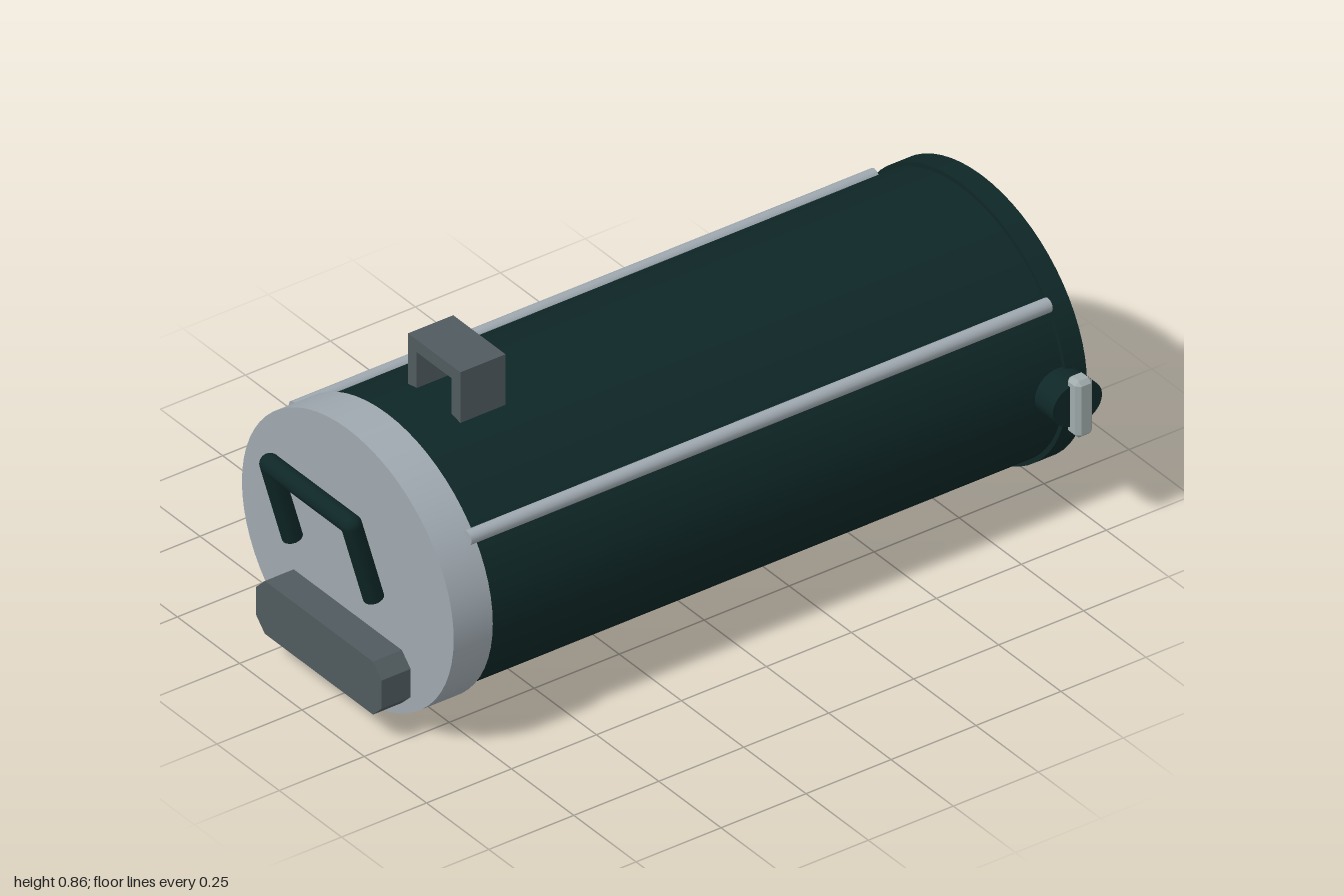
import * as THREE from 'three';
import { ConvexGeometry } from 'three/addons/geometries/ConvexGeometry.js';

const CY = 0.375; // height of the long axis

function mat(name, color) {
  const m = new THREE.MeshStandardMaterial({ color });
  m.name = name;
  return m;
}

export function createModel() {
  const root = new THREE.Group();
  const dark = mat('dark green', 0x0f2727);
  const light = mat('light steel', 0x9fa9b0);
  const pale = mat('pale grey', 0xa0abab);
  const grey = mat('slate grey', 0x505b5f);

  function add(name, geo, material, x = 0, y = 0, z = 0) {
    const mesh = new THREE.Mesh(geo, material);
    mesh.name = name;
    mesh.position.set(x, y, z);
    root.add(mesh);
    return mesh;
  }

  // Oval cylinder lying along x
  function drum(name, x0, x1, ry, rz, material) {
    const geo = new THREE.CylinderGeometry(1, 1, x1 - x0, 64);
    geo.rotateZ(Math.PI / 2);
    geo.scale(1, ry, rz);
    return add(name, geo, material, (x0 + x1) / 2, CY, 0);
  }

  // Box with every edge cut at 45 degrees
  function chamferBox(w, h, d, c) {
    const pts = [];
    for (const sx of [-1, 1]) for (const sy of [-1, 1]) for (const sz of [-1, 1]) {
      for (let k = 0; k < 3; k++) {
        const cut = [c, c, c];
        cut[k] = 0;
        pts.push(new THREE.Vector3(sx * (w / 2 - cut[0]), sy * (h / 2 - cut[1]), sz * (d / 2 - cut[2])));
      }
    }
    return new ConvexGeometry(pts);
  }

  // Body and end caps
  drum('body', -0.8, 0.95, 0.359, 0.411, dark);
  drum('endCap', 0.94, 1.0, 0.371, 0.423, dark);
  drum('frontCollar', -0.865, -0.75, 0.372, 0.425, light);

  // Square carrying loop on top
  const loop = new THREE.Shape([
    [-0.105, 0.7], [-0.07, 0.7], [-0.07, 0.83], [0.07, 0.83],
    [0.07, 0.7], [0.105, 0.7], [0.105, 0.865], [-0.105, 0.865],
  ].map(([a, b]) => new THREE.Vector2(a, b)));
  const loopGeo = new THREE.ExtrudeGeometry(loop, { depth: 0.133, bevelEnabled: false });
  loopGeo.rotateY(Math.PI / 2);
  add('topLoop', loopGeo, grey, -0.611, 0, 0);

  // Rails, side knobs and latches, mirrored front to back
  for (const s of [-1, 1]) {
    const rail = new THREE.CylinderGeometry(0.019, 0.019, 1.71, 16);
    rail.rotateZ(Math.PI / 2);
    add('sideRail', rail, light, 0.085, 0.585, s * 0.348);

    const knob = new THREE.CylinderGeometry(1, 1, 0.135, 32);
    knob.rotateX(Math.PI / 2);
    knob.scale(0.0725, 0.06, 1);
    add('sideKnob', knob, dark, 0.9275, 0.38, s * 0.4155);

    add('latch', chamferBox(0.05, 0.16, 0.05, 0.011), pale, 0.93, 0.38, s * 0.49);
  }

  // Block with cut corners on the front plate
  const hz = 0.252, hy = 0.075, c = 0.035;
  const block = new THREE.Shape([
    [-hz + c, -hy], [hz - c, -hy], [hz, -hy + c], [hz, hy - c],
    [hz - c, hy], [-hz + c, hy], [-hz, hy - c], [-hz, -hy + c],
  ].map(([a, b]) => new THREE.Vector2(a, b)));
  const blockGeo = new THREE.ExtrudeGeometry(block, { depth: 0.1, bevelEnabled: false });
  blockGeo.rotateY(Math.PI / 2);
  add('frontBlock', blockGeo, grey, -0.95, 0.16, 0);

  // Tilted pull handle: two legs, a crossbar and round corners
  const r = 0.026, zLeg = 0.163, len = 0.24;
  const handle = new THREE.Group();
  handle.name = 'pullHandle';
  const part = (geo, y, z) => {
    const m = new THREE.Mesh(geo, dark);
    m.name = 'handlePart';
    m.position.set(0, y, z);
    handle.add(m);
  };
  for (const s of [-1, 1]) {
    part(new THREE.CylinderGeometry(r, r, len, 20), len / 2, s * zLeg);
    part(new THREE.SphereGeometry(r, 20, 12), len, s * zLeg);
  }
  const bar = new THREE.CylinderGeometry(r, r, zLeg * 2, 20);
  bar.rotateX(Math.PI / 2);
  part(bar, len, 0);
  handle.position.set(-0.909, 0.374, 0);
  handle.rotation.z = 0.275;
  root.add(handle);

  return root;
}
